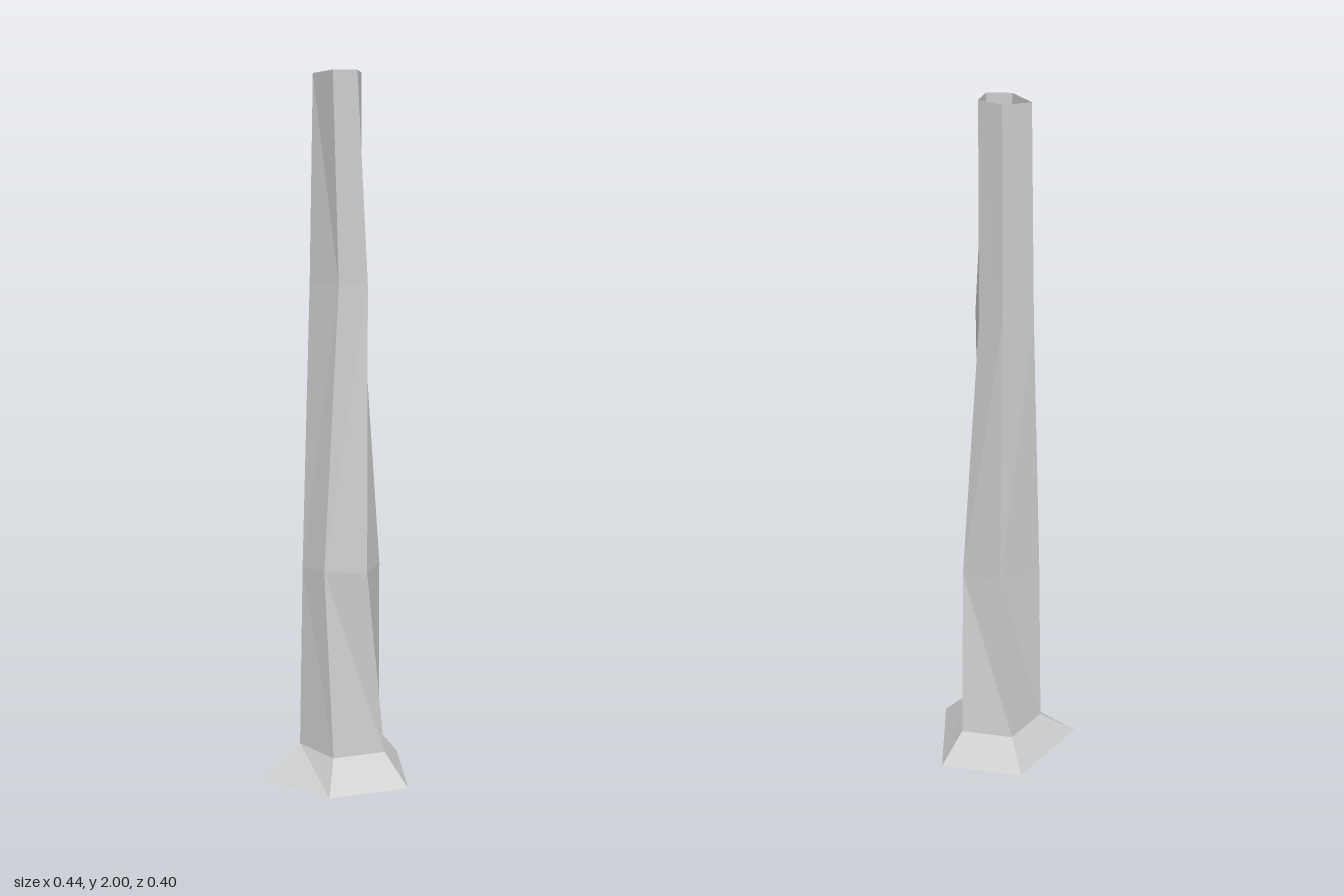
import * as THREE from 'three';

// Each ring: height and five corners [x, z], clockwise seen from above
const RINGS = [
  { y: 0, pts: [[0.04, -0.2], [0.22, -0.035], [0.07, 0.2], [-0.15, 0.12], [-0.22, -0.105]] },
  { y: 0.09, pts: [[0.027, -0.128], [0.14, -0.023], [0.045, 0.122], [-0.1, 0.072], [-0.11, -0.077]] },
  { y: 0.62, pts: [[0.042, -0.083], [0.105, 0.02], [0, 0.097], [-0.092, 0.02], [-0.092, -0.085]] },
  { y: 1.42, pts: [[0.045, -0.098], [0.07, -0.022], [0.04, 0.046], [-0.033, 0.01], [-0.045, -0.11]] },
  { y: 1.995, pts: [[0.045, -0.095], [0.068, -0.02], [0.01, 0.037], [-0.045, 0], [-0.03, -0.112]] },
];

// Joins neighbouring rings with two triangles per side; flip picks the diagonal
function loft(rings, flips) {
  const pos = [];
  const index = [];
  const n = rings[0].pts.length;
  for (const { y, pts } of rings) for (const [x, z] of pts) pos.push(x, y, z);
  for (let r = 0; r < rings.length - 1; r++) {
    for (let i = 0; i < n; i++) {
      const j = (i + 1) % n;
      const a = r * n + i, b = r * n + j, c = a + n, d = b + n;
      if (flips[r]) index.push(b, a, c, b, c, d);
      else index.push(b, a, d, a, c, d);
    }
  }
  const geo = new THREE.BufferGeometry();
  geo.setAttribute('position', new THREE.Float32BufferAttribute(pos, 3));
  geo.setIndex(index);
  const flat = geo.toNonIndexed();
  flat.computeVertexNormals();
  return flat;
}

export function createModel() {
  const group = new THREE.Group();
  group.name = 'hollowTrunk';
  const material = new THREE.MeshStandardMaterial({
    color: 0xcccccc, flatShading: true, side: THREE.DoubleSide,
  });

  // Flared foot at the ground
  const foot = new THREE.Mesh(loft(RINGS.slice(0, 2), [false]), material);
  foot.name = 'flaredFoot';

  // Tapering, slightly twisted stem, open at the top
  const stem = new THREE.Mesh(loft(RINGS.slice(1), [false, true, false]), material);
  stem.name = 'stem';

  group.add(foot, stem);
  return group;
}
